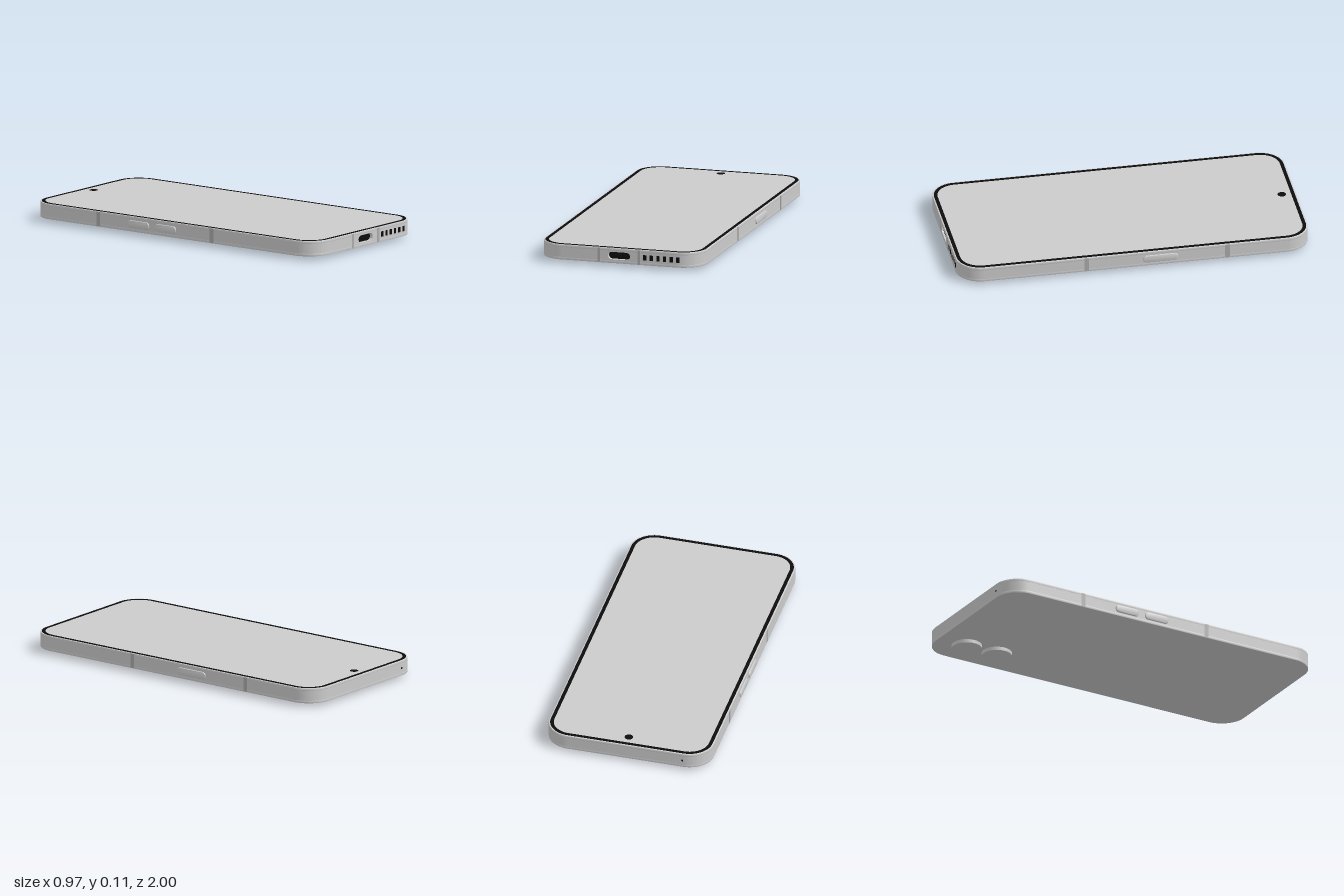
import * as THREE from 'three';
import { toCreasedNormals } from 'three/addons/utils/BufferGeometryUtils.js';

const grey = new THREE.MeshStandardMaterial({ color: 0xcccccc });
const bandGrey = new THREE.MeshStandardMaterial({ color: 0xaaaaaa });
const black = new THREE.MeshStandardMaterial({ color: 0x0c0c0c });

// Half width, half length, corner radius and height range of the body
const W = 0.475, L = 1, R = 0.14, BOTTOM = 0.02, TOP = 0.107, MID = 0.063;
const NOTCH = 0.1, DEPTH = 0.022;

// Rounded rectangle by half sizes; a notch can be cut in its front (-y) edge
function roundedRect(w, h, r, notch = 0) {
  const s = new THREE.Shape();
  s.moveTo(-w + r, -h);
  if (notch) {
    s.lineTo(-notch, -h).lineTo(-notch, -h + DEPTH);
    s.lineTo(notch, -h + DEPTH).lineTo(notch, -h);
  }
  s.lineTo(w - r, -h);
  s.absarc(w - r, -h + r, r, -Math.PI / 2, 0);
  s.absarc(w - r, h - r, r, 0, Math.PI / 2);
  s.absarc(-w + r, h - r, r, Math.PI / 2, Math.PI);
  s.absarc(-w + r, -h + r, r, Math.PI, Math.PI * 1.5);
  return s;
}

// Extrusion that keeps its outline and total depth when bevelled
function extrude(shape, depth, bevel = 0) {
  const geometry = new THREE.ExtrudeGeometry(shape, {
    depth: depth - 2 * bevel, curveSegments: 20,
    bevelEnabled: bevel > 0, bevelThickness: bevel, bevelSize: bevel,
    bevelOffset: -bevel, bevelSegments: 2,
  });
  geometry.translate(0, 0, bevel);
  return toCreasedNormals(geometry, 0.5);
}

export function createModel() {
  const model = new THREE.Group();
  model.name = 'phone';

  function add(name, geometry, material, x = 0, y = 0, z = 0) {
    const mesh = new THREE.Mesh(geometry, material);
    mesh.name = name;
    mesh.position.set(x, y, z);
    model.add(mesh);
    return mesh;
  }
  // Horizontal slab between two heights
  function slab(name, shape, y0, y1, material, bevel = 0) {
    const geometry = extrude(shape, y1 - y0, bevel).rotateX(-Math.PI / 2);
    return add(name, geometry, material, 0, y0, 0);
  }

  // Body: back, notched frame and bevelled front rim
  slab('backShell', roundedRect(W, L, R), BOTTOM, 0.036, grey, 0.001);
  slab('frame', roundedRect(W, L, R, NOTCH), 0.034, 0.092, grey);
  slab('frontRim', roundedRect(W, L, R), 0.088, TOP - 0.0006, grey, 0.003);

  // Display: black border ring and screen inside it
  const border = roundedRect(W - 0.008, L - 0.008, R - 0.008);
  border.holes.push(roundedRect(W - 0.028, L - 0.028, R - 0.028));
  slab('screenBorder', border, TOP - 0.002, TOP, black);
  slab('screen', roundedRect(W - 0.028, L - 0.028, R - 0.028), TOP - 0.002, TOP, grey);
  add('frontCamera', new THREE.CylinderGeometry(0.024, 0.024, 0.002, 40), black,
    0, TOP - 0.0004, -0.92);

  // Charging port: plate with an oblong hole, dark back and tongue
  const plate = roundedRect(NOTCH, 0.029, 0.0001);
  plate.holes.push(roundedRect(0.064, 0.021, 0.0209));
  add('portPlate', extrude(plate, DEPTH), grey, 0, MID, L - DEPTH);
  add('portBack', new THREE.BoxGeometry(0.14, 0.05, 0.002), black, 0, MID, L - DEPTH + 0.001);
  add('portTongue', extrude(roundedRect(0.045, 0.005, 0.004), 0.014), black,
    0, MID, L - DEPTH + 0.002);

  // Speaker slots
  for (let i = 0; i < 6; i++) {
    add('speakerSlot', new THREE.BoxGeometry(0.019, 0.03, 0.01), black,
      0.151 + i * 0.0386, MID, L - 0.0042);
  }

  // Microphone hole in the back edge
  add('microphone', new THREE.CylinderGeometry(0.006, 0.006, 0.01, 20).rotateX(Math.PI / 2),
    black, -0.33, MID, -L + 0.0042);

  // Antenna bands on the front edge and both long sides
  const bandHeight = TOP - BOTTOM - 0.006;
  for (const side of [-1, 1]) {
    add('frontBand', new THREE.BoxGeometry(0.015, bandHeight, 0.01), bandGrey,
      side * 0.117, MID, L - 0.0044);
    for (const z of [0.28, -0.52]) {
      add('sideBand', new THREE.BoxGeometry(0.01, bandHeight, 0.026), bandGrey,
        side * (W - 0.0044), MID, z);
    }
  }

  // Oblong buttons: one on the left side, two on the right
  for (const [side, z, length] of [[1, -0.14, 0.2], [-1, -0.235, 0.15], [-1, -0.045, 0.15]]) {
    const geometry = extrude(roundedRect(length / 2, 0.021, 0.0209), 0.018, 0.003);
    const button = add('sideButton', geometry, grey, side * (W - 0.01), MID, z);
    button.rotation.y = side * Math.PI / 2;
  }

  // Rear cameras
  for (const z of [-0.625, -0.82]) {
    add('rearCamera', new THREE.CylinderGeometry(0.085, 0.085, 0.022, 64), grey, 0.295, 0.011, z);
  }
  return model;
}
